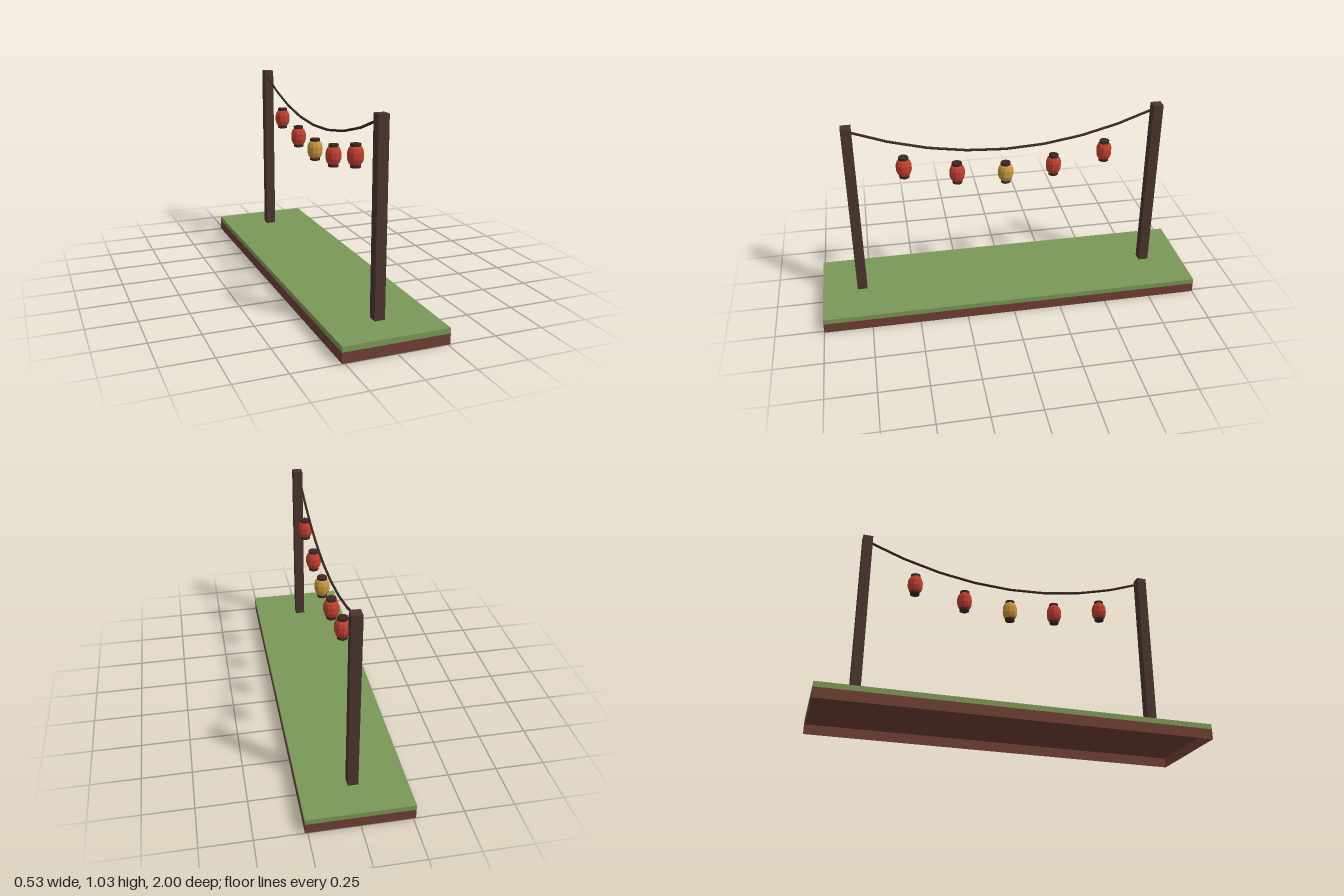
import * as THREE from 'three';

const mat = (name, color, side = THREE.FrontSide) => {
  const m = new THREE.MeshStandardMaterial({ color, flatShading: true, side });
  m.name = name;
  return m;
};

export function createModel() {
  const grass = mat('grass green', 0x7b9857);
  const soil = mat('soil brown', 0x6f3e33, THREE.DoubleSide);
  const wood = mat('dark wood', 0x4b342e);
  const rope = mat('rope brown', 0x3d2b24);
  const red = mat('lantern red', 0xc0402f);
  const gold = mat('lantern gold', 0xc8963f);
  const cap = mat('lantern cap', 0x3a2723);

  const model = new THREE.Group();
  model.name = 'lanternLine';
  const add = (parent, name, geometry, material, x = 0, y = 0, z = 0) => {
    const mesh = new THREE.Mesh(geometry, material);
    mesh.name = name;
    mesh.position.set(x, y, z);
    parent.add(mesh);
    return mesh;
  };

  // Ground: grass slab on a soil tray that is open underneath
  const W = 0.526, L = 2, soilH = 0.053, grassH = 0.027;
  add(model, 'grassSlab', new THREE.BoxGeometry(W, grassH, L), grass, 0, soilH + grassH / 2, 0);
  const tray = new THREE.Group();
  tray.name = 'soilTray';
  model.add(tray);
  for (const s of [-1, 1]) {
    add(tray, 'soilSide', new THREE.PlaneGeometry(L, soilH), soil, s * W / 2, soilH / 2, 0)
      .rotation.y = s * Math.PI / 2;
    add(tray, 'soilEnd', new THREE.PlaneGeometry(W, soilH), soil, 0, soilH / 2, s * L / 2)
      .rotation.y = s > 0 ? 0 : Math.PI;
  }
  add(tray, 'soilUnderside', new THREE.PlaneGeometry(W, L), soil, 0, soilH - 0.001, 0)
    .rotation.x = Math.PI / 2;

  // Posts
  for (const s of [-1, 1]) {
    add(model, 'post', new THREE.BoxGeometry(0.052, 0.95, 0.052), wood, 0, 0.555, s * 0.79);
  }

  // Sagging rope, made of straight pieces
  const sag = (z) => 0.838 + 0.265 * z * z;
  const path = new THREE.CurvePath();
  const N = 8, span = 0.785;
  const knots = Array.from({ length: N + 1 }, (_, i) => {
    const z = -span + (2 * span * i) / N;
    return new THREE.Vector3(-0.008, sag(z), z);
  });
  for (let i = 0; i < N; i++) path.add(new THREE.LineCurve3(knots[i], knots[i + 1]));
  add(model, 'rope', new THREE.TubeGeometry(path, 32, 0.0065, 6, false), rope);

  // Lanterns: faceted barrel with a cap at each end
  const profile = [[0.023, -0.047], [0.033, -0.036], [0.04, -0.016], [0.04, 0.016], [0.033, 0.036], [0.023, 0.047]]
    .map(([r, y]) => new THREE.Vector2(r, y));
  const bodyGeo = new THREE.LatheGeometry(profile, 10);
  const capGeo = new THREE.CylinderGeometry(0.026, 0.026, 0.013, 10);
  const lantern = (y, z, colour) => {
    const g = new THREE.Group();
    g.name = 'lantern';
    g.position.set(0, y, z);
    add(g, 'lanternBody', bodyGeo, colour);
    for (const s of [-1, 1]) add(g, 'lanternCap', capGeo, cap, 0, s * 0.051, 0);
    model.add(g);
  };
  lantern(0.709, 0, gold);
  for (const s of [-1, 1]) {
    lantern(0.73, s * 0.253, red);
    lantern(0.787, s * 0.522, red);
  }
  return model;
}
